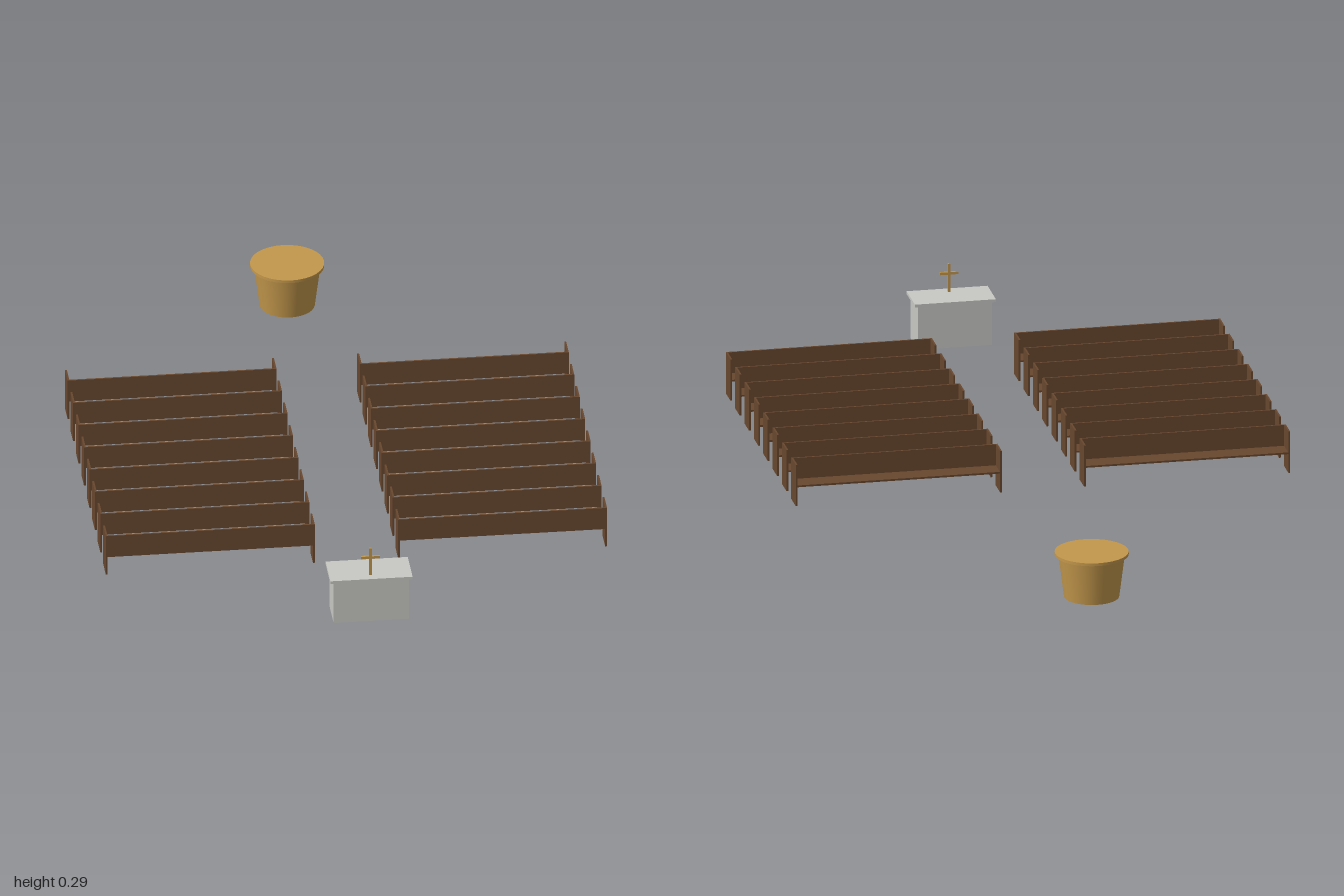
import * as THREE from 'three';

export function createModel() {
  const model = new THREE.Group();
  model.name = 'chapelFurniture';

  const wood = new THREE.MeshStandardMaterial({ color: 0x68472e });
  wood.name = 'dark wood';
  const stone = new THREE.MeshStandardMaterial({ color: 0xc8c8c4 });
  stone.name = 'pale stone';
  const gold = new THREE.MeshStandardMaterial({ color: 0xc4984c });
  gold.name = 'golden brass';

  const add = (parent, name, geometry, material, x, y, z) => {
    const mesh = new THREE.Mesh(geometry, material);
    mesh.name = name;
    mesh.position.set(x, y, z);
    parent.add(mesh);
    return mesh;
  };
  const group = (name, x, y, z) => {
    const g = new THREE.Group();
    g.name = name;
    g.position.set(x, y, z);
    model.add(g);
    return g;
  };

  // Pews: two blocks of eight, backrests on the +z side
  const length = 0.555, depth = 0.06, board = 0.005;
  const low = 0.078, seatY = 0.13, high = 0.193;
  const endGeo = new THREE.BoxGeometry(board, high - low, depth);
  const seatGeo = new THREE.BoxGeometry(length - 2 * board, board, depth - 0.002);
  const backGeo = new THREE.BoxGeometry(length - 2 * board, high - seatY, board);
  for (const side of [-1, 1]) {
    for (let row = 0; row < 8; row++) {
      const pew = group('pew', side * 0.388, 0, -0.232 + row * 0.123);
      for (const end of [-1, 1]) {
        add(pew, 'pewEnd', endGeo, wood, end * (length - board) / 2, (low + high) / 2, 0);
      }
      add(pew, 'pewSeat', seatGeo, wood, 0, seatY + board / 2, 0);
      add(pew, 'pewBackrest', backGeo, wood, 0, (seatY + high) / 2, (depth - board) / 2);
    }
  }

  // Altar with an overhanging slab and a standing cross
  const altar = group('altar', 0, 0, 0.945);
  add(altar, 'altarBlock', new THREE.BoxGeometry(0.2, 0.122, 0.098), stone, 0, 0.139, 0);
  add(altar, 'altarSlab', new THREE.BoxGeometry(0.218, 0.008, 0.11), stone, 0, 0.203, 0);
  add(altar, 'crossUpright', new THREE.BoxGeometry(0.007, 0.08, 0.006), gold, 0, 0.246, 0.029);
  add(altar, 'crossBar', new THREE.BoxGeometry(0.05, 0.007, 0.006), gold, 0, 0.259, 0.029);

  // Tapered font with a thin lid
  const font = group('font', 0, 0, -0.902);
  add(font, 'fontBowl', new THREE.CylinderGeometry(0.088, 0.073, 0.118, 32), gold, 0, 0.059, 0);
  add(font, 'fontLid', new THREE.CylinderGeometry(0.098, 0.098, 0.008, 32), gold, 0, 0.121, 0);

  return model;
}
